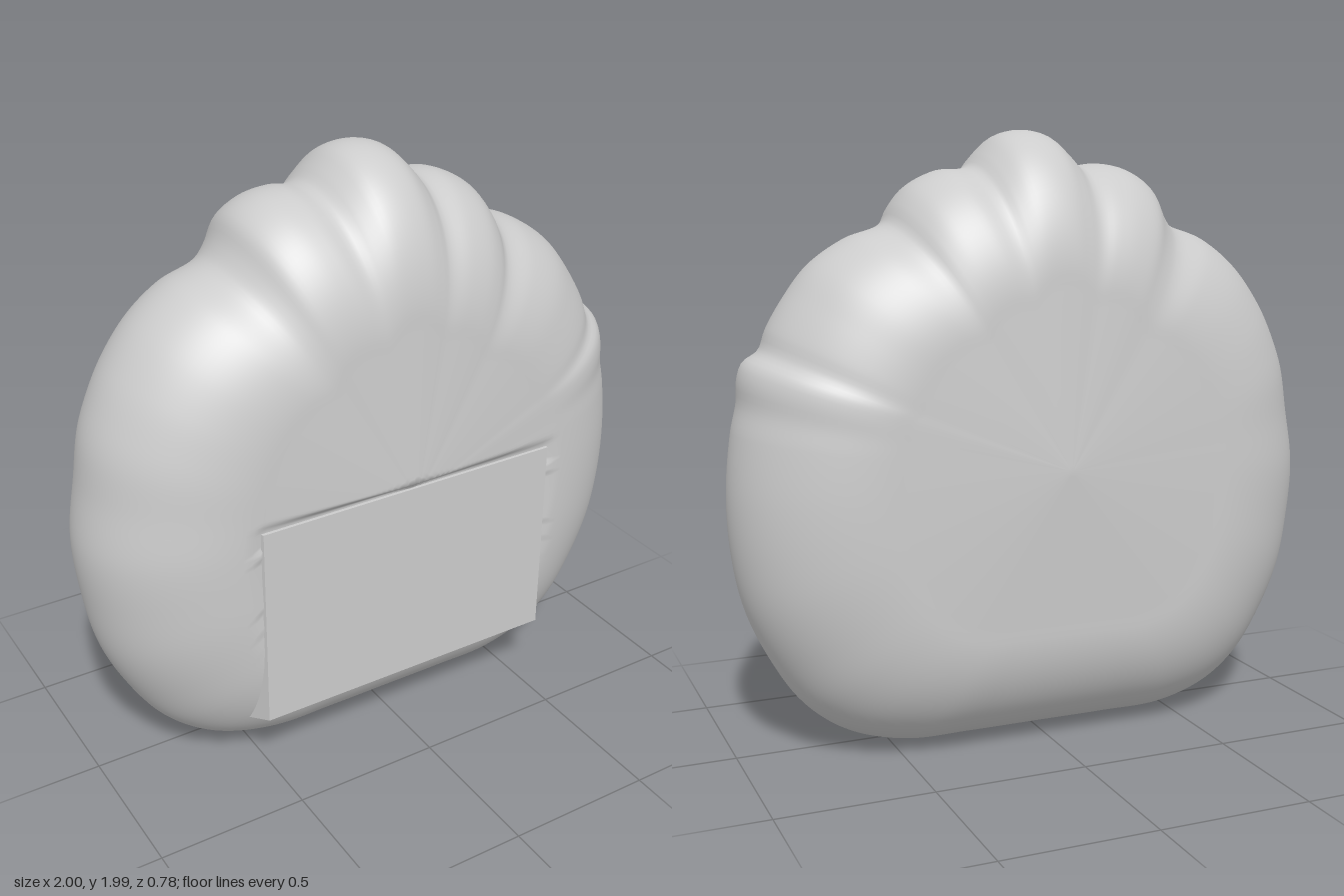
import * as THREE from 'three';

const CENTRE_Y = 0.93;   // point the lobes radiate from
const SHOULDER = 0.55;   // share of the radius covered by the shallow cone
const PEAK = 0.393, SHOULDER_Z = 0.363;
const SEGMENTS = 320, CONE_RINGS = 30, RIM_RINGS = 24;

// Lobed silhouette, clockwise from the top
const OUTLINE = [
  [0.02, 1.99], [0.1, 1.97], [0.165, 1.91], [0.2, 1.87], [0.3, 1.86], [0.4, 1.81], [0.45, 1.75], [0.48, 1.695],
  [0.6, 1.65], [0.72, 1.57], [0.8, 1.47], [0.86, 1.37], [0.885, 1.305], [0.935, 1.27], [0.955, 1.22], [0.96, 1.14],
  [0.98, 1.05], [1, 0.85], [0.99, 0.65], [0.955, 0.48], [0.88, 0.31], [0.78, 0.16], [0.65, 0.06], [0.47, 0.005],
  [0.25, 0], [0, 0], [-0.25, 0], [-0.47, 0.005], [-0.65, 0.06], [-0.78, 0.16], [-0.88, 0.31], [-0.95, 0.47],
  [-0.985, 0.65], [-1, 0.85], [-0.97, 1.05], [-0.945, 1.2], [-0.91, 1.3], [-0.85, 1.42], [-0.75, 1.55], [-0.63, 1.64],
  [-0.5, 1.69], [-0.46, 1.74], [-0.42, 1.82], [-0.34, 1.87], [-0.25, 1.885], [-0.17, 1.88], [-0.12, 1.925], [-0.06, 1.975],
];

// Cross-section from the front centre over the rim to the back centre: [scale, z]
function crossSection() {
  const half = [];
  for (let i = 1; i <= CONE_RINGS; i++) {
    const t = i / CONE_RINGS;
    half.push([SHOULDER * t, PEAK + (SHOULDER_Z - PEAK) * t]);
  }
  for (let i = 1; i <= RIM_RINGS; i++) {
    const a = (i / RIM_RINGS) * Math.PI / 2;
    half.push([SHOULDER + (1 - SHOULDER) * Math.sin(a), SHOULDER_Z * Math.cos(a)]);
  }
  const back = half.slice(0, -1).reverse().map(([s, z]) => [s, -z]);
  return [...half, ...back];
}

// Flat seat for the panel, with a small step along its top edge
function seatPanel(x, y, z) {
  if (z < 0.34 || Math.abs(x) > 0.55) return z;
  const keep = THREE.MathUtils.smoothstep(y, 0.955, 0.985);
  return THREE.MathUtils.lerp(Math.min(z, 0.355), z, keep);
}

function bodyGeometry() {
  const curve = new THREE.CatmullRomCurve3(
    OUTLINE.map(([x, y]) => new THREE.Vector3(x, y, 0)), true, 'centripetal');
  const loop = curve.getSpacedPoints(SEGMENTS).slice(0, SEGMENTS);
  const rings = crossSection();
  const positions = [], index = [];
  for (const [s, z] of rings) {
    for (const p of loop) {
      const x = p.x * s;
      const y = Math.max(0, CENTRE_Y + (p.y - CENTRE_Y) * s);
      positions.push(x, y, seatPanel(x, y, z));
    }
  }
  const front = positions.length / 3, back = front + 1;
  positions.push(0, CENTRE_Y, 0.355, 0, CENTRE_Y, -PEAK);
  const last = (rings.length - 1) * SEGMENTS;
  for (let j = 0; j < SEGMENTS; j++) {
    const k = (j + 1) % SEGMENTS;
    index.push(front, k, j, back, last + j, last + k);
    for (let i = 0; i < rings.length - 1; i++) {
      const a = i * SEGMENTS, b = a + SEGMENTS;
      index.push(a + j, a + k, b + j, a + k, b + k, b + j);
    }
  }
  const geometry = new THREE.BufferGeometry();
  geometry.setAttribute('position', new THREE.Float32BufferAttribute(positions, 3));
  geometry.setIndex(index);
  geometry.computeVertexNormals();
  return geometry;
}

// Rectangular panel whose sides and bottom flare out where they meet the body
function panelGeometry() {
  const geometry = new THREE.BoxGeometry(1.08, 0.7, 0.1).toNonIndexed();
  geometry.translate(0, 0.6, 0.316);
  const p = geometry.attributes.position;
  for (let i = 0; i < p.count; i++) {
    if (p.getZ(i) > 0.3) continue;
    p.setX(i, p.getX(i) + Math.sign(p.getX(i)) * 0.035);
    if (p.getY(i) < 0.6) p.setY(i, p.getY(i) - 0.035);
  }
  geometry.computeVertexNormals();
  return geometry;
}

export function createModel() {
  const grey = new THREE.MeshStandardMaterial({ color: 0xcccccc });
  grey.name = 'light grey';

  const model = new THREE.Group();
  model.name = 'lobedCushion';

  const body = new THREE.Mesh(bodyGeometry(), grey);
  body.name = 'body';
  const panel = new THREE.Mesh(panelGeometry(), grey);
  panel.name = 'frontPanel';
  model.add(body, panel);
  return model;
}
